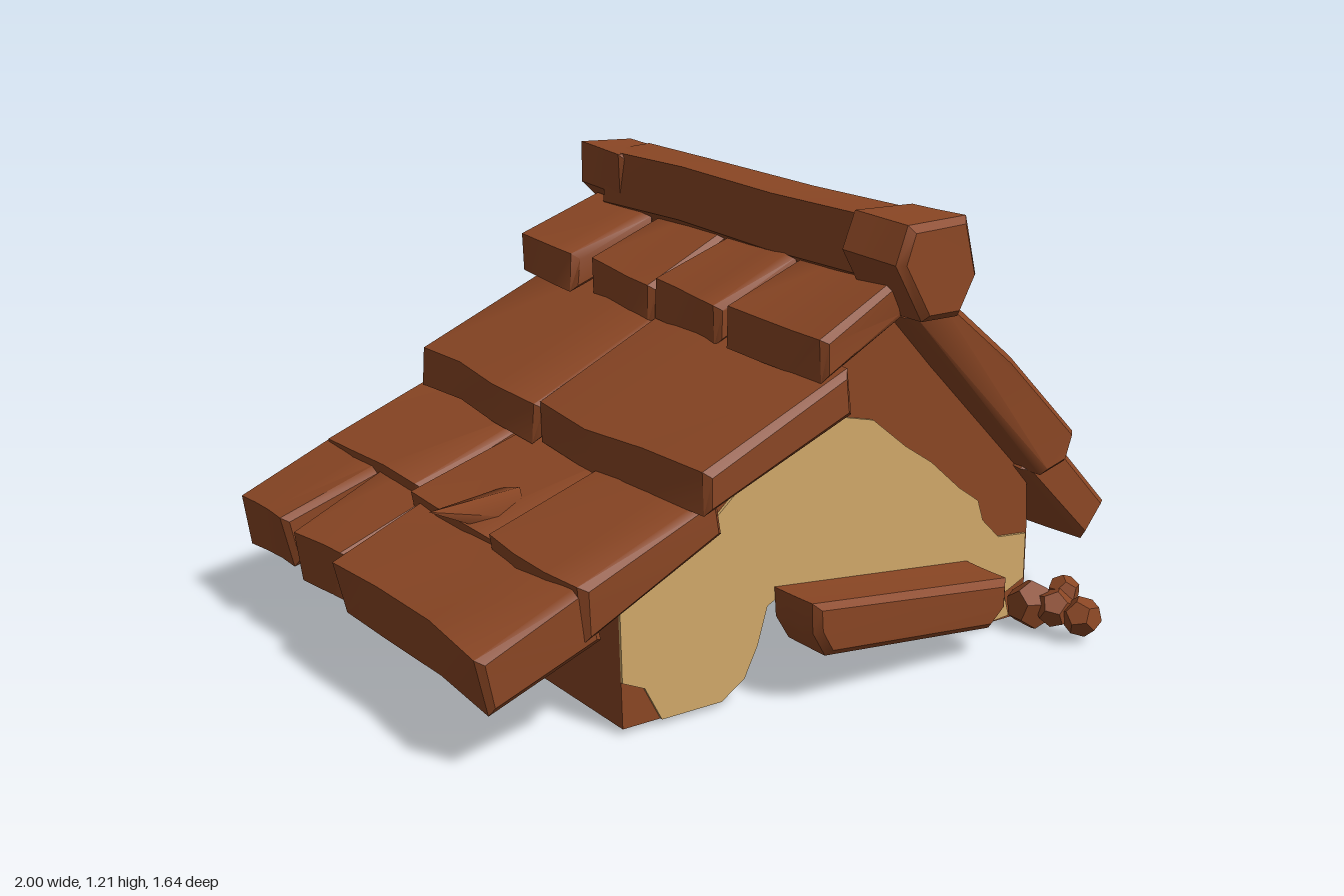
import * as THREE from 'three';
import { toCreasedNormals } from 'three/addons/utils/BufferGeometryUtils.js';

const brown = new THREE.MeshStandardMaterial({ color: 0x8a4624 });
brown.name = 'weathered wood';
const tan = new THREE.MeshStandardMaterial({ color: 0xd0a869 });
tan.name = 'plaster';

const toShape = (pts) => new THREE.Shape(pts.map(([x, y]) => new THREE.Vector2(x, y)));

// Prism along z from an xy section, with worn edges and gently uneven faces
function slab(name, pts, z0, z1, { bevel = 0.018, wobble = 0.01, seed = 0, material = brown } = {}) {
  let geo = new THREE.ExtrudeGeometry(toShape(pts), {
    depth: z1 - z0 - 2 * bevel, steps: 3, bevelEnabled: bevel > 0,
    bevelThickness: bevel, bevelSize: bevel, bevelOffset: -bevel, bevelSegments: 1,
  });
  geo.translate(0, 0, z0 + bevel);
  const p = geo.attributes.position;
  for (let i = 0; i < p.count; i++) {
    const x = p.getX(i), y = p.getY(i), z = p.getZ(i);
    p.setXYZ(i,
      x + wobble * Math.sin(z * 9 + y * 5 + seed),
      y + wobble * Math.sin(x * 8 + z * 7 + seed * 2.3),
      z + wobble * Math.sin(x * 11 + y * 9 + seed * 1.7));
  }
  geo = toCreasedNormals(geo, 0.7);
  const mesh = new THREE.Mesh(geo, material);
  mesh.name = name;
  return mesh;
}

// A row of shingles sharing one section; each entry is [z0, z1, dx, dy]
function shingleRow(name, section, tiles, seed) {
  const row = new THREE.Group();
  row.name = name;
  tiles.forEach(([z0, z1, dx = 0, dy = 0], i) => {
    const pts = section.map(([x, y]) => [x + dx, y + dy]);
    row.add(slab(name + 'Shingle', pts, z0, z1, { seed: seed + i * 1.9 }));
  });
  return row;
}

export function createModel() {
  const model = new THREE.Group();
  model.name = 'cottageRoof';

  // Gabled body with an arched passage running through it
  const arch = [[0.53, 0], [0.45, 0.07], [0.38, 0.15], [0.1, 0.22], [-0.1, 0.26],
    [-0.16, 0.23], [-0.19, 0.13], [-0.23, 0.05], [-0.3, 0.005]];
  model.add(slab('body', [
    [-0.59, 0.005], [-0.6, 0.33], [-0.36, 0.49], [0, 0.76], [0.2, 0.97], [0.27, 0.93],
    [0.72, 0.46], [0.73, 0.25], [0.73, 0], ...arch,
  ], -0.72, 0.545, { bevel: 0, wobble: 0 }));

  // Plaster on the front gable
  model.add(slab('frontPlaster', [
    [-0.595, 0.13], [-0.6, 0.31], [-0.34, 0.48], [-0.2, 0.6], [-0.03, 0.69], [0.05, 0.69],
    [0.17, 0.66], [0.28, 0.57], [0.37, 0.51], [0.47, 0.42], [0.54, 0.37], [0.56, 0.31],
    [0.62, 0.25], [0.72, 0.24], [0.72, 0.11], [0.65, 0.08], [0.67, 0.01],
    ...arch, [-0.48, 0.005], [-0.53, 0.1],
  ], 0.545, 0.553, { bevel: 0, wobble: 0, material: tan }));

  // Long left slope, eave to ridge
  model.add(shingleRow('leftEave',
    [[-0.99, 0.3], [-0.965, 0.155], [-0.66, 0.26], [-0.69, 0.42]],
    [[-0.8, -0.49, 0, 0.01], [-0.48, -0.2, 0.015], [-0.2, 0.58]], 0));
  model.add(shingleRow('leftLower',
    [[-0.73, 0.43], [-0.71, 0.28], [-0.32, 0.46], [-0.34, 0.57]],
    [[-0.78, -0.25, 0.01], [-0.25, 0.19, -0.01, -0.01], [0.18, 0.61, -0.015]], 2));
  model.add(shingleRow('leftMiddle',
    [[-0.43, 0.65], [-0.43, 0.54], [0.02, 0.73], [0.01, 0.85]],
    [[-0.77, -0.11], [-0.11, 0.67]], 4));
  model.add(shingleRow('leftUpper',
    [[-0.07, 0.93], [-0.07, 0.82], [0.2, 0.93], [0.19, 1.04]],
    [[-0.78, -0.48], [-0.45, -0.11, 0.01, -0.01], [-0.1, 0.22], [0.23, 0.64]], 6));

  // Steep right slope
  model.add(shingleRow('rightUpper',
    [[0.2, 0.94], [0.28, 1.02], [0.55, 0.77], [0.8, 0.53], [0.77, 0.45], [0.69, 0.42]],
    [[-0.76, -0.44, 0, -0.005], [-0.45, -0.11, 0, -0.02], [-0.12, 0.64, 0, 0.005]], 1));
  model.add(shingleRow('rightEave',
    [[0.67, 0.45], [0.78, 0.53], [0.99, 0.28], [0.9, 0.195]],
    [[-0.77, -0.445], [-0.45, -0.155, -0.015], [-0.16, 0.16, 0, -0.005], [0.155, 0.585]], 3));
  // Short second course overlapping the back of the right slope
  model.add(slab('rightCourse', [[0.28, 0.98], [0.31, 1.02], [0.57, 0.77], [0.54, 0.71]],
    -0.76, -0.12, { seed: 5 }));

  // Ridge beam with thickened ends
  model.add(slab('ridgeBeam', [[0.15, 1.03], [0.16, 1.18], [0.31, 1.18], [0.33, 1.02], [0.25, 0.96]],
    -0.7, 0.52, { seed: 1, wobble: 0.006 }));
  model.add(slab('ridgeFrontCap', [[0.1, 1.1], [0.14, 1.195], [0.33, 1.195], [0.37, 1.04], [0.31, 0.945], [0.19, 0.95]],
    0.48, 0.71, { seed: 2, wobble: 0.006 }));
  model.add(slab('ridgeBackCap', [[0.15, 1.06], [0.15, 1.18], [0.32, 1.18], [0.35, 1.04], [0.25, 0.97]],
    -0.82, -0.57, { seed: 3, wobble: 0.006 }));

  // Beam over the front opening
  model.add(slab('frontBeam', [[-0.135, 0.28], [-0.13, 0.2], [-0.09, 0.13], [0.46, 0.08], [0.51, 0.13], [0.51, 0.21]],
    0.53, 0.72, { seed: 4, wobble: 0.005 }));

  // Splintered shingle lifting off the left slope
  const splinter = new THREE.Mesh(new THREE.ConeGeometry(0.07, 0.24, 5), brown);
  splinter.name = 'loftedSplinter';
  splinter.position.set(-0.72, 0.45, 0.05);
  splinter.rotation.z = 1.4;
  splinter.scale.z = 1.1;
  model.add(splinter);

  // Broken root at the front corner
  const root = new THREE.Group();
  root.name = 'brokenRoot';
  [[0.69, 0.06, 0.62, 0.07], [0.71, 0.07, 0.69, 0.055], [0.74, 0.06, 0.76, 0.055], [0.76, 0.1, 0.67, 0.045]]
    .forEach(([x, y, z, r], i) => {
      const chunk = new THREE.Mesh(new THREE.DodecahedronGeometry(r, 0), brown);
      chunk.name = 'rootChunk';
      chunk.position.set(x, y, z);
      chunk.rotation.set(i, i * 0.7, 0.4);
      root.add(chunk);
    });
  model.add(root);
  return model;
}
